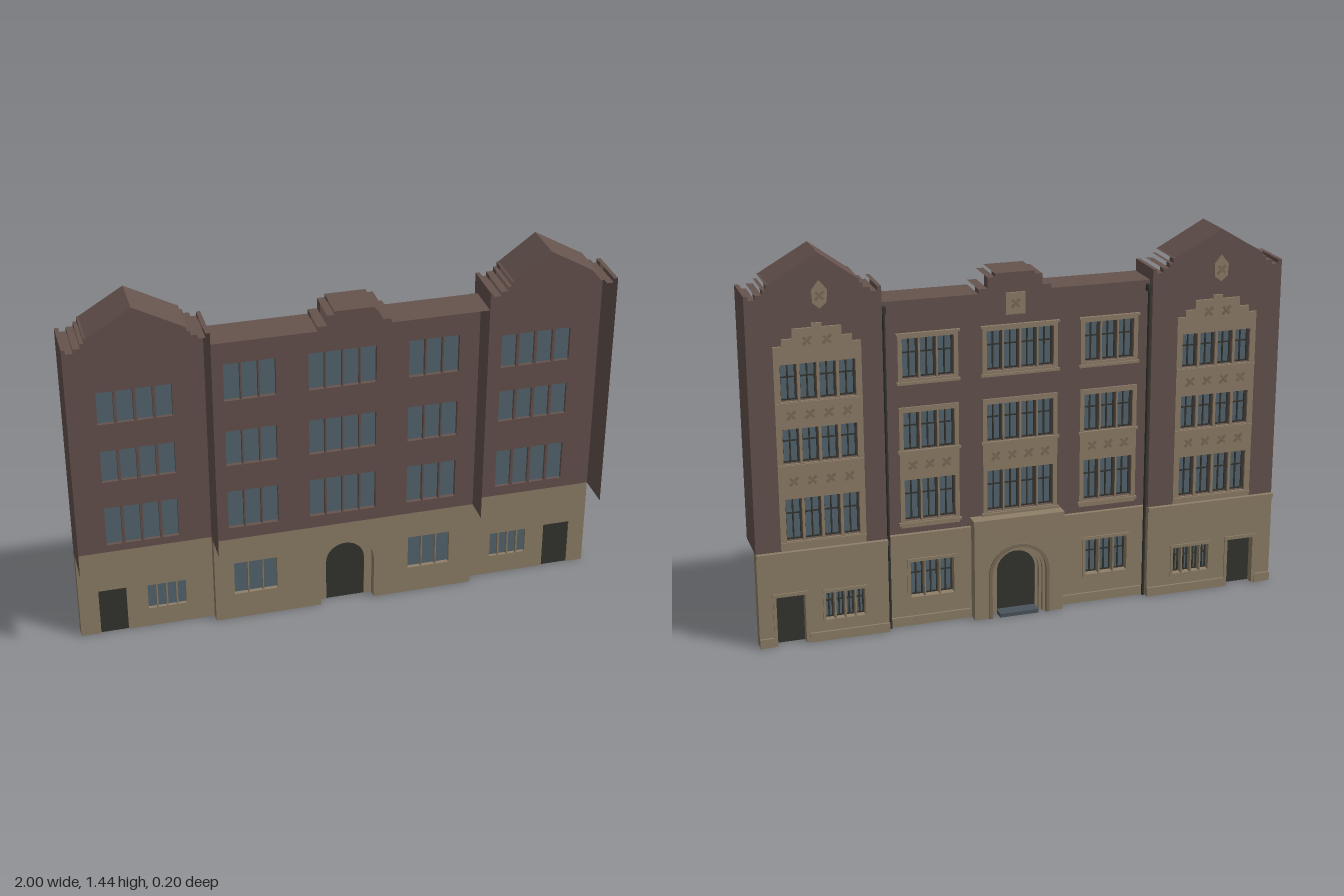
import * as THREE from 'three';

const mat = (name, color, side = THREE.FrontSide) => {
  const m = new THREE.MeshStandardMaterial({ color, side });
  m.name = name;
  return m;
};

export function createModel() {
  const root = new THREE.Group();
  root.name = 'schoolFacade';
  const brick = mat('brick', 0x66534e);
  const brickSheet = mat('brick sheet', 0x66534e, THREE.DoubleSide);
  const stone = mat('stone', 0x8f7f69);
  const carved = mat('carved stone', 0x7b6c59);
  const glass = mat('glass', 0x566670);
  const dark = mat('dark frame', 0x34352f);
  const slate = mat('slate', 0x4a545b);

  const add = (name, geo, material) => {
    const m = new THREE.Mesh(geo, material);
    m.name = name;
    root.add(m);
    return m;
  };
  const rectPts = ([x0, y0, x1, y1]) => [[x0, y0], [x1, y0], [x1, y1], [x0, y1]];
  const vecs = pts => pts.map(p => new THREE.Vector2(p[0], p[1]));
  // Flat plate in x/y with rectangular holes, from z0 to z1
  const slab = (name, pts, holes, z0, z1, material) => {
    const s = new THREE.Shape(vecs(pts));
    holes.forEach(h => s.holes.push(new THREE.Path(vecs(rectPts(h)))));
    const g = new THREE.ExtrudeGeometry(s, { depth: z1 - z0, bevelEnabled: false });
    return add(name, g.translate(0, 0, z0), material);
  };
  const box = (name, r, z0, z1, material) => slab(name, rectPts(r), [], z0, z1, material);
  // Open strip running along z between two points of a roof line
  const strip = (name, a, b, z0, z1) => {
    const dx = b[0] - a[0], dy = b[1] - a[1];
    const g = new THREE.PlaneGeometry(Math.hypot(dx, dy), z1 - z0).rotateX(-Math.PI / 2);
    g.rotateZ(Math.atan2(dy, dx)).translate((a[0] + b[0]) / 2, (a[1] + b[1]) / 2, (z0 + z1) / 2);
    add(name, g, brickSheet);
  };
  // Round arch outline, left foot to right foot
  const CX = 0.025;
  const arch = (r, spring) => {
    const pts = [[CX - r, 0]];
    for (let i = 0; i <= 16; i++) {
      const t = Math.PI * (1 - i / 16);
      pts.push([CX + r * Math.cos(t), spring + r * Math.sin(t)]);
    }
    return [...pts, [CX + r, 0]];
  };
  const doorNotch = (x0, x1) => [[x0, 0], [x0, 0.19], [x1, 0.19], [x1, 0]];

  // Window rows: rectangles for n lights between x0 and x1
  const lights = (x0, x1, n, [y0, y1], gap) => {
    const w = (x1 - x0 + gap) / n;
    return Array.from({ length: n }, (_, i) => [x0 + i * w, y0, x0 + (i + 1) * w - gap, y1]);
  };
  // Glass with a four-pane sash on the street side
  const glaze = (rects, z) => rects.forEach(r => {
    const [x0, y0, x1, y1] = r, b = 0.005, mx = (x0 + x1) / 2, my = y0 + (y1 - y0) * 0.62;
    box('windowGlass', r, z, z + 0.004, glass);
    slab('windowSash', rectPts(r), [
      [x0 + b, y0 + b, mx - b / 2, my - b / 2], [mx + b / 2, y0 + b, x1 - b, my - b / 2],
      [x0 + b, my + b / 2, mx - b / 2, y1 - b], [mx + b / 2, my + b / 2, x1 - b, y1 - b],
    ], z - 0.005, z, dark);
  });
  // Pinwheel relief on a spandrel
  const ornament = (x, y, z) => {
    [[-0.008, 0.008], [0.008, -0.008], [0, 0]].forEach(([dx, dy], i) => {
      const g = new THREE.BoxGeometry(i === 2 ? 0.036 : 0.016, 0.009, 0.006);
      g.rotateZ(i === 2 ? Math.PI / 4 : -Math.PI / 4).translate(x + dx * 1.2, y + dy * 1.2, z);
      add('spandrelOrnament', g, carved);
    });
  };
  const spandrel = (x0, x1, n, y, z) => {
    for (let i = 0; i < n; i++) ornament(x0 + (x1 - x0) * (i + 0.5) / n, y, z);
  };

  // Gabled end wings
  const wing = (x0, x1, peak, eave, winX, rows, baseX, door) => {
    const OUT = -0.072, IN = -0.035, e = eave;
    const side = [[0, e], [0.015, e], [0.015, e - 0.016], [0.04, e - 0.016], [0.04, e],
      [0.065, e], [0.065, e + 0.017], [0.078, e + 0.017], [0.078, e + 0.034], [0.086, e + 0.036]];
    const top = [...side.map(([d, y]) => [x0 + d, y]), peak,
      ...side.map(([d, y]) => [x1 - d, y]).reverse()];
    const wins = rows.flatMap(r => lights(winX[0], winX[1], 4, r, 0.01));
    slab('wingBrickWall', [[x1, 0.36], [x0, 0.36], ...top], wins, OUT, IN, brick);
    glaze(wins, -0.052);
    // Roof treads and slopes reach back from the wall; step risers stay open
    for (let i = 1; i < top.length; i++)
      if (top[i][0] - top[i - 1][0] > 0.001) strip('wingRoofStrip', top[i - 1], top[i], OUT, 0.1);
    [x0, x1].forEach(x => strip('wingSideWall', [x, 0.36], [x, e], IN, 0.1));

    // Stone bay with a stepped crown
    const a = winX[0] - 0.022, b = winX[1] + 0.022, t = rows[2][1] + 0.025, c = (a + b) / 2;
    const w = b - a, crown = [[0.5, 0], [0.5, 0.04], [0.4, 0.04], [0.4, 0.065], [0.28, 0.065],
      [0.28, 0.1], [0.06, 0.1], [0.06, 0.115]];
    slab('wingStoneBay', [[a, 0.365], [b, 0.365],
      ...crown.map(([k, h]) => [c + k * w, t + h]),
      ...crown.map(([k, h]) => [c - k * w, t + h]).reverse()], wins, -0.08, OUT, stone);
    [0, 1].forEach(i => spandrel(winX[0], winX[1], 4, (rows[i][1] + rows[i + 1][0]) / 2, -0.081));
    spandrel(c - 0.07, c + 0.07, 2, t + 0.055, -0.081);
    rows.forEach(r => box('wingWindowSill', [a, r[0] - 0.012, b, r[0] - 0.003], -0.084, OUT, stone));

    // Gable shield
    const gy = peak[1] - 0.15;
    slab('gableShield', [[peak[0], gy - 0.045], [peak[0] + 0.025, gy - 0.025], [peak[0] + 0.028, gy + 0.02],
      [peak[0], gy + 0.055], [peak[0] - 0.028, gy + 0.02], [peak[0] - 0.025, gy - 0.025]],
      [], -0.08, OUT, stone);
    ornament(peak[0], gy, -0.081);

    // Stone ground floor
    const low = lights(baseX[0], baseX[1], 4, [0.08, 0.185], 0.006);
    slab('wingBaseWall', [[x0, 0], ...doorNotch(...door), [x1, 0], [x1, 0.36], [x0, 0.36]],
      low, -0.078, IN, stone);
    glaze(low, -0.052);
    box('wingDoor', [door[0], 0, door[1], 0.19], -0.05, -0.04, dark);
    box('wingBandCourse', [x0, 0.343, x1, 0.362], -0.088, -0.07, stone);
    [[x0, door[0] - 0.012], [door[1] + 0.012, x1]].forEach(([p, q]) =>
      box('wingPlinth', [p, 0, q, 0.035], -0.086, -0.07, stone));
    slab('doorSurround', [[door[0] - 0.012, 0], ...doorNotch(...door), [door[1] + 0.012, 0],
      [door[1] + 0.012, 0.203], [door[0] - 0.012, 0.203]], [], -0.083, -0.078, stone);
    const f = [baseX[0] - 0.01, 0.068, baseX[1] + 0.01, 0.197];
    slab('baseWindowSurround', rectPts(f), low, -0.083, -0.078, stone);
  };
  wing(-1, -0.49, [-0.755, 1.415], 1.283, [-0.88, -0.61],
    [[0.39, 0.55], [0.66, 0.79], [0.9, 1.03]], [-0.74, -0.595], [-0.925, -0.82]);
  wing(0.52, 1, [0.74, 1.44], 1.305, [0.62, 0.887],
    [[0.4, 0.56], [0.69, 0.82], [0.92, 1.055]], [0.61, 0.755], [0.83, 0.935]);

  // Centre block
  const L = -0.49, R = 0.52, OUT = -0.042;
  const rows = [[0.41, 0.57], [0.68, 0.825], [0.95, 1.1]];
  const bays = [[-0.43, -0.24, 3], [-0.12, 0.133, 4], [0.255, 0.445, 3]];
  const para = [[0.136, 1.238], [0.136, 1.255], [0.102, 1.255], [0.102, 1.295], [0.075, 1.295], [0.075, 1.308]];
  const top = [[L, 1.238], ...para.map(([d, y]) => [CX - d, y]),
    ...para.map(([d, y]) => [CX + d, y]).reverse(), [R, 1.238]];
  const bayWins = bays.map(([a, b, n]) => rows.map(r => lights(a, b, n, r, 0.006)));
  slab('centreBrickWall', [[R, 0.36], [L, 0.36], ...top], bayWins.flat(2), OUT, 0, brick);
  for (let i = 1; i < top.length; i++)
    if (top[i][0] - top[i - 1][0] > 0.001) strip('centreRoofStrip', top[i - 1], top[i], OUT, 0.1);
  bays.forEach(([a, b, n], i) => {
    glaze(bayWins[i].flat(), -0.02);
    const p = a - 0.016, q = b + 0.016;
    slab('lowerStoneBay', rectPts([p, 0.385, q, 0.845]), bayWins[i].slice(0, 2).flat(), -0.048, OUT, stone);
    slab('upperStoneBay', rectPts([p, 0.93, q, 1.118]), bayWins[i][2], -0.048, OUT, stone);
    spandrel(a, b, n, 0.625, -0.049);
    [0.395, 0.672, 0.93].forEach(y =>
      box('centreWindowSill', [p - 0.006, y, q + 0.006, y + 0.01], -0.053, OUT, stone));
    box('centreLintel', [p - 0.006, 1.112, q + 0.006, 1.12], -0.053, OUT, stone);
  });
  box('parapetPlaque', [CX - 0.036, 1.155, CX + 0.036, 1.235], -0.049, OUT, stone);
  ornament(CX, 1.195, -0.05);

  // Centre ground floor
  const low = [...lights(-0.415, -0.25, 3, [0.11, 0.25], 0.005), ...lights(0.265, 0.43, 3, [0.11, 0.25], 0.005)];
  slab('centreBaseWall', [[L, 0], ...arch(0.105, 0.175), [R, 0], [R, 0.36], [L, 0.36]], low, -0.048, 0, stone);
  glaze(low, -0.02);
  [low.slice(0, 3), low.slice(3)].forEach(g => slab('baseWindowSurround',
    rectPts([g[0][0] - 0.012, 0.098, g[2][2] + 0.012, 0.262]), g, -0.053, -0.048, stone));
  [[L, -0.15], [0.2, R]].forEach(([a, b]) => {
    box('centreBandCourse', [a, 0.343, b, 0.362], -0.057, -0.04, stone);
    box('centrePlinth', [a, 0, b, 0.035], -0.056, -0.04, stone);
  });

  // Entrance porch: arched layers stepping in to the door
  [[-0.09, -0.08, 0.105], [-0.08, -0.066, 0.095], [-0.066, -0.052, 0.085], [-0.052, -0.035, 0.075]]
    .forEach(([z0, z1, r]) => slab('porchArchLayer',
      [[-0.147, 0], ...arch(r, 0.17), [0.197, 0], [0.197, 0.39], [-0.147, 0.39]], [], z0, z1, stone));
  slab('archMoulding', [...arch(0.105, 0.17), ...arch(0.118, 0.17).reverse()], [], -0.096, -0.09, carved);
  box('porchCoping', [-0.15, 0.378, 0.2, 0.395], -0.095, OUT, stone);
  slab('entranceDoor', arch(0.075, 0.17), [], -0.043, -0.036, dark);
  box('entranceStep', [CX - 0.075, 0, CX + 0.075, 0.014], -0.094, -0.043, slate);

  // Downpipes in the inner corners
  [L + 0.008, R - 0.008].forEach(x => {
    add('downpipe', new THREE.CylinderGeometry(0.006, 0.006, 1.22, 8).translate(x, 0.61, -0.06), dark);
    box('pipeHead', [x - 0.008, 1.2, x + 0.008, 1.225], -0.068, OUT, dark);
  });
  return root;
}
